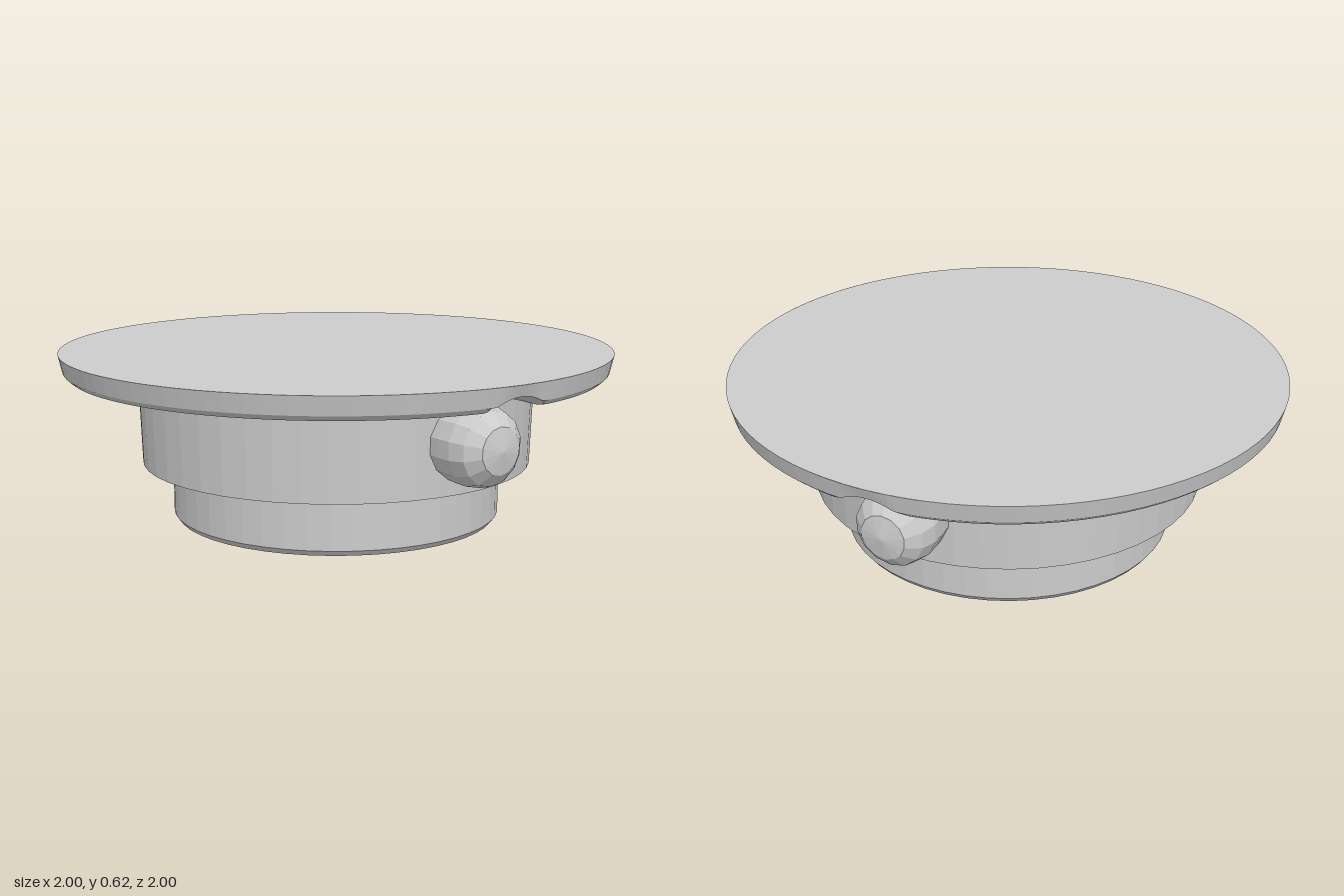
import * as THREE from 'three';

const rad = THREE.MathUtils.degToRad;
const material = new THREE.MeshStandardMaterial({ color: 0xcccccc, flatShading: true, side: THREE.DoubleSide });
const PORT_ANGLES = [90, 198]; // measured around y, from +z towards +x
const PORT_Y = 0.39;
const PORT_CLEARANCE = 0.19;
const GAP = 12; // half angle of the flange sector holding each groove
const UNDERSIDE = 0.53;
const TOP = 0.62;
const RIM = [[0.93, UNDERSIDE], [0.965, 0.537], [0.985, 0.555], [1, TOP]];

const polar = (r, deg) => new THREE.Vector2(r * Math.sin(rad(deg)), r * Math.cos(rad(deg)));

function loop(cx, cz, r, n) {
  return Array.from({ length: n }, (_, i) => polar(r, i * 360 / n).add(new THREE.Vector2(cx, cz)));
}

function lathe(points, segments, start = 0, span = 360) {
  return new THREE.LatheGeometry(points.map(p => new THREE.Vector2(...p)), segments, rad(start), rad(span));
}

// A flat plate facing down, drawn in x and z
function plate(outline, holes, y) {
  const shape = new THREE.Shape(outline);
  shape.holes = holes.map(h => new THREE.Path(h));
  return new THREE.ShapeGeometry(shape).rotateX(Math.PI / 2).translate(0, y, 0);
}

// Blind hole opening downwards
function pocket(c, y, r, depth, n) {
  return lathe([[0, y + depth], [r, y + depth], [r, y]], n).translate(c.x, 0, c.y);
}

export function createModel() {
  const group = new THREE.Group();
  const add = (name, geometry) => {
    const mesh = new THREE.Mesh(geometry, material);
    mesh.name = name;
    group.add(mesh);
    return mesh;
  };

  // Stepped body: chamfered base and wider collar
  add('body', lathe([[0.585, 0], [0.6, 0.02], [0.6, 0.21], [0.71, 0.21], [0.72, 0.5], [0.735, UNDERSIDE]], 48));

  // Base face with its bore and ring of eight bolt holes
  const baseHoles = Array.from({ length: 8 }, (_, i) => polar(0.48, i * 45));
  add('baseFace', plate(loop(0, 0, 0.585, 48),
    [loop(0, 0, 0.32, 32), ...baseHoles.map(c => loop(c.x, c.y, 0.04, 8))], 0));
  add('centreBore', lathe([[0, 0.13], [0.305, 0.13], [0.305, 0.015], [0.32, 0]], 32));
  baseHoles.forEach(c => add('baseBoltHole', pocket(c, 0, 0.04, 0.08, 8)));

  // Flange top
  add('flangeTop', new THREE.CircleGeometry(1, 90).rotateX(-Math.PI / 2).translate(0, TOP, 0));

  // Flange sectors between the ports, with bolt holes every 36 degrees
  const [a, b] = PORT_ANGLES;
  for (const [from, to] of [[a + GAP, b - GAP], [b + GAP, a + 360 - GAP]]) {
    const n = Math.round((to - from) / 4);
    const arc = r => Array.from({ length: n + 1 }, (_, i) => polar(r, from + (to - from) * i / n));
    const holes = [];
    for (let d = Math.ceil(from / 36) * 36; d < to; d += 36) holes.push(polar(0.855, d));
    add('flangeRim', lathe(RIM, n, from, to - from));
    add('flangeUnderside', plate([...arc(0.93), ...arc(0.7).reverse()],
      holes.map(c => loop(c.x, c.y, 0.065, 8)), UNDERSIDE));
    holes.forEach(c => add('flangeBoltHole', pocket(c, UNDERSIDE, 0.065, 0.04, 8)));
  }

  for (const angle of PORT_ANGLES) {
    // Flange sector with a round clearance groove above the port
    const inner = [0.7, 0.78, 0.86].map(r => [r, UNDERSIDE]);
    const groove = lathe([...inner, ...RIM], 24, -GAP, 2 * GAP);
    const p = groove.attributes.position;
    for (let i = 0; i < p.count; i++) {
      const d = Math.abs(p.getX(i));
      if (d < PORT_CLEARANCE) {
        p.setY(i, Math.max(p.getY(i), PORT_Y + Math.sqrt(PORT_CLEARANCE ** 2 - d * d)));
      }
    }
    add('flangeGroove', groove.rotateY(rad(angle)));

    // Round-ended port knob
    const knob = lathe([[0.13, 0.66], [0.138, 0.74], [0.14, 0.8], [0.125, 0.855], [0.08, 0.897], [0, 0.912]], 14);
    add('portKnob', knob.rotateX(Math.PI / 2).translate(0, PORT_Y, 0).rotateY(rad(angle)));
  }

  return group;
}
